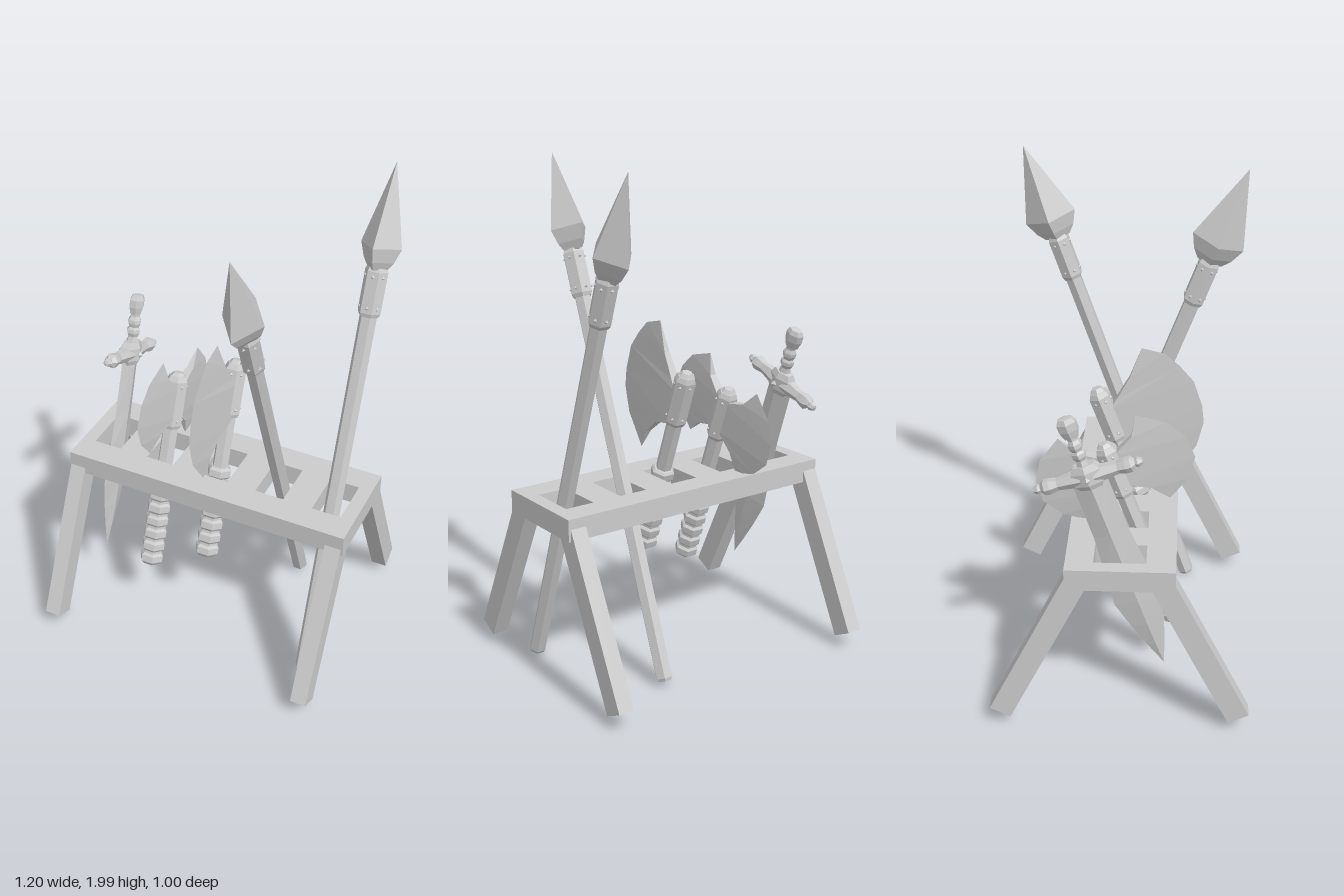
import * as THREE from 'three';

const mat = new THREE.MeshStandardMaterial({ color: 0xcccccc, flatShading: true });

function add(parent, geo, name, x = 0, y = 0, z = 0) {
  const m = new THREE.Mesh(geo, mat);
  m.name = name;
  m.position.set(x, y, z);
  parent.add(m);
  return m;
}

// faceted turned part, profile points [radius, height] from bottom to top
function turned(profile, sides = 6, phi = Math.PI / 6) {
  return new THREE.LatheGeometry(profile.map(p => new THREE.Vector2(p[0], p[1])), sides, phi);
}

// skin over a stack of closed cross-sections
function loft(sections) {
  const pos = [];
  for (let i = 0; i < sections.length - 1; i++) {
    const lo = sections[i], hi = sections[i + 1], n = lo.length;
    for (let j = 0; j < n; j++) {
      const k = (j + 1) % n;
      pos.push(...lo[j], ...lo[k], ...hi[k], ...lo[j], ...hi[k], ...hi[j]);
    }
  }
  const g = new THREE.BufferGeometry();
  g.setAttribute('position', new THREE.Float32BufferAttribute(pos, 3));
  g.computeVertexNormals();
  return g;
}

// weapon frame: local y runs up the handle, leaning back by the angle
function weapon(root, name, x, y, z, degrees) {
  const g = new THREE.Group();
  g.name = name;
  g.position.set(x, y, z);
  g.rotation.x = -THREE.MathUtils.degToRad(degrees);
  root.add(g);
  return g;
}

// riveted hexagonal metal sleeve
function socket(parent, y0, y1) {
  add(parent, turned([[0, y0], [0.038, y0], [0.045, y0 + 0.015], [0.045, y1 - 0.02], [0.036, y1], [0, y1]]), 'socket');
  for (let i = 0; i < 6; i++) {
    const a = i * Math.PI / 3;
    for (const y of [y0 + 0.035, y1 - 0.04]) {
      add(parent, new THREE.OctahedronGeometry(0.008), 'rivet', Math.sin(a) * 0.039, y, Math.cos(a) * 0.039);
    }
  }
}

function rack(root) {
  // slotted top board
  const s = new THREE.Shape();
  s.moveTo(-0.6, -0.21).lineTo(0.6, -0.21).lineTo(0.6, 0.2).lineTo(-0.6, 0.2).closePath();
  for (let i = -2; i <= 2; i++) {
    const x = i * 0.242, h = new THREE.Path();
    h.moveTo(x - 0.06, -0.1).lineTo(x - 0.06, 0.095).lineTo(x + 0.06, 0.095).lineTo(x + 0.06, -0.1).closePath();
    s.holes.push(h);
  }
  const board = new THREE.ExtrudeGeometry(s, { depth: 0.087, bevelEnabled: false });
  board.rotateX(-Math.PI / 2);
  add(root, board, 'rackBoard', 0, 0.65, 0);
  // splayed legs
  for (const x of [-0.566, 0.558]) {
    for (const side of [-1, 1]) {
      const geo = new THREE.BoxGeometry(0.065, 0.69, 0.088);
      geo.translate(0, 0.345, 0);
      const leg = add(root, geo, 'rackLeg', x, 0.066, side * 0.46);
      leg.rotation.x = -side * 0.455;
    }
  }
}

function spear(root, x, y, z, degrees) {
  const g = weapon(root, 'spear', x, y, z, degrees);
  add(g, turned([[0, 0], [0.028, 0], [0.034, 0.012], [0.034, 1.6], [0, 1.6]]), 'spearShaft');
  socket(g, 1.515, 1.71);
  const head = turned([[0, 1.695], [0.05, 1.697], [0.078, 1.73], [0.104, 1.785], [0, 2.092]], 4, 0);
  head.scale(0.76, 1, 1);
  add(g, head, 'spearHead');
}

// blade rows: inner z, inner y, outer z, outer y, half thickness
function axe(root, x, y, z, rows, doubleHead) {
  const g = weapon(root, 'axe', x, y, z, 20);
  add(g, turned([[0, 0.02], [0.033, 0.02], [0.033, 0.75], [0, 0.75]]), 'axeHandle');
  // grip made of bulging wraps
  const grip = [[0, 0], [0.034, 0]];
  for (let i = 0; i < 7; i++) {
    const b = i * 0.057;
    grip.push([0.04, b + 0.005], [0.05, b + 0.015], [0.05, b + 0.042], [0.04, b + 0.052]);
  }
  grip.push([0, 0.4]);
  add(g, turned(grip), 'axeGrip');
  socket(g, 0.61, 0.83);
  add(g, turned([[0.036, 0.825], [0.02, 0.845], [0, 0.845]]), 'axeCap');
  const blade = loft(rows.map(([zi, yi, zo, yo, t]) => [[0, yo, zo], [t, yi, zi], [-t, yi, zi]]));
  add(g, blade, 'axeBlade');
  if (doubleHead) add(g, blade, 'rearAxeBlade').scale.z = -1;
}

function sword(root) {
  const g = weapon(root, 'sword', -0.48, 0.24, 0.17, 19);
  // leaf shaped blade: height, half width, half thickness
  const rows = [[0, 0, 0], [0.1, 0.035, 0.011], [0.2, 0.066, 0.017], [0.31, 0.094, 0.02],
    [0.45, 0.082, 0.022], [0.62, 0.068, 0.024], [0.86, 0.066, 0.026]];
  add(g, loft(rows.map(([y, w, t]) => [[0, y, w], [t, y, 0], [0, y, -w], [-t, y, 0]])), 'swordBlade');
  // guard with tapered arms and knobbed ends
  const hub = turned([[0, 0.83], [0.035, 0.83], [0.045, 0.85], [0.045, 0.9], [0.033, 0.925], [0, 0.925]]);
  hub.scale(0.9, 1, 1.4);
  add(g, hub, 'guardHub');
  for (const side of [-1, 1]) {
    const arm = turned([[0, 0], [0.036, 0], [0.024, 0.09], [0.03, 0.12], [0.03, 0.14], [0.015, 0.155],
      [0.019, 0.165], [0.012, 0.182], [0, 0.185]]);
    arm.rotateX(side * Math.PI / 2);
    add(g, arm, 'guardArm', 0, 0.875, side * 0.025);
    add(g, new THREE.OctahedronGeometry(0.014), 'guardStud', side * 0.042, 0.875, 0);
  }
  // ringed grip and flared pommel
  add(g, turned([[0, 0.91], [0.028, 0.91], [0.02, 0.945], [0.028, 0.96], [0.028, 0.975], [0.021, 0.985],
    [0.028, 1.0], [0.028, 1.015], [0.02, 1.03], [0.022, 1.05], [0, 1.05]]), 'swordGrip');
  const pommel = turned([[0, 1.04], [0.021, 1.04], [0.029, 1.07], [0.03, 1.1], [0.022, 1.118], [0, 1.12]]);
  pommel.scale(1, 1, 1.35);
  add(g, pommel, 'pommel');
}

export function createModel() {
  const root = new THREE.Group();
  root.name = 'weaponRack';
  rack(root);
  spear(root, 0.235, 0.025, -0.288, -20.7);
  spear(root, 0.48, 0.012, 0.257, 19);
  axe(root, 0, 0.385, 0.175, [
    [0.16, 0.39, 0.16, 0.39, 0], [0.14, 0.48, 0.285, 0.48, 0.012], [0.09, 0.56, 0.345, 0.57, 0.018],
    [0.02, 0.6, 0.362, 0.64, 0.024], [0.02, 0.75, 0.365, 0.75, 0.024], [0.06, 0.78, 0.335, 0.83, 0.018],
    [0.14, 0.85, 0.3, 0.896, 0.012], [0.223, 0.947, 0.223, 0.947, 0]], false);
  axe(root, -0.24, 0.275, 0.215, [
    [0.16, 0.54, 0.16, 0.54, 0], [0.11, 0.61, 0.255, 0.6, 0.014], [0.02, 0.66, 0.308, 0.68, 0.024],
    [0.02, 0.79, 0.302, 0.77, 0.024], [0.11, 0.84, 0.255, 0.85, 0.014], [0.155, 0.917, 0.155, 0.917, 0]], true);
  sword(root);
  return root;
}
